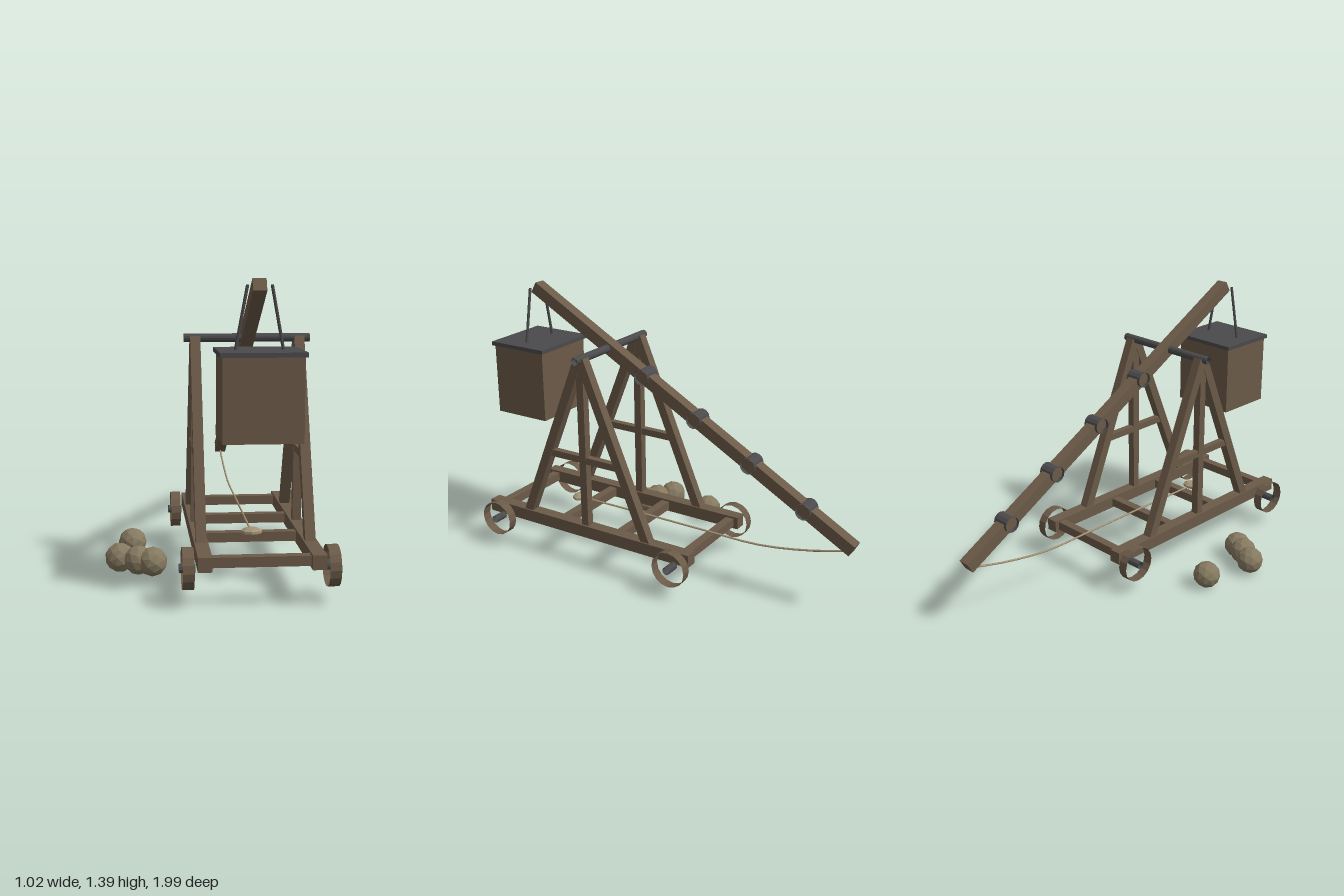
import * as THREE from 'three';

const CX = 0.16;        // centre line of the machine
const PIVOT_Z = 0.373;  // middle of the side frames
const mat = (color, side = THREE.FrontSide) =>
  new THREE.MeshStandardMaterial({ color, side, flatShading: true });

export function createModel() {
  const model = new THREE.Group();
  model.name = 'trebuchet';
  const wood = mat(0x6b5a48), woodOpen = mat(0x6b5a48, THREE.DoubleSide);
  const iron = mat(0x4a4a4c), ironOpen = mat(0x4a4a4c, THREE.DoubleSide);
  const rope = mat(0xa39376), stone = mat(0x857960);

  function add(name, geometry, material, x, y, z, parent = model) {
    const mesh = new THREE.Mesh(geometry, material);
    mesh.name = name;
    mesh.position.set(x, y, z);
    parent.add(mesh);
    return mesh;
  }
  const box = (name, w, h, d, m, x, y, z, parent) =>
    add(name, new THREE.BoxGeometry(w, h, d), m, x, y, z, parent);

  // Square beam between two points that share the same x
  function beam(name, size, x, [z0, y0], [z1, y1], parent) {
    const dz = z1 - z0, dy = y1 - y0;
    const b = box(name, size, size, Math.hypot(dz, dy), wood, x, (y0 + y1) / 2, (z0 + z1) / 2, parent);
    b.rotation.x = -Math.atan2(dy, dz);
    return b;
  }
  // Open tube lying along x
  function sleeve(name, r, length, sides, m, x, y, z, parent) {
    const g = new THREE.CylinderGeometry(r, r, length, sides, 1, true).rotateZ(Math.PI / 2);
    return add(name, g, m, x, y, z, parent);
  }

  // Base frame, side frames and wheels
  for (const s of [-1, 1]) {
    const side = new THREE.Group();
    side.name = s > 0 ? 'leftSide' : 'rightSide';
    model.add(side);
    const x = CX + s * 0.243;
    box('baseRail', 0.062, 0.064, 1.242, wood, x, 0.203, 0.373, side);
    beam('frontLeg', 0.047, x, [0.745, 0.22], [PIVOT_Z + 0.005, 1.11], side);
    beam('rearLeg', 0.047, x, [0.001, 0.22], [PIVOT_Z - 0.005, 1.11], side);
    box('centrePost', 0.04, 0.84, 0.04, wood, x, 0.65, PIVOT_Z, side);
    box('frameBrace', 0.035, 0.035, 0.4, wood, x, 0.59, PIVOT_Z, side);
    for (const z of [0.907, -0.17]) {
      sleeve('wheelRim', 0.091, 0.05, 16, woodOpen, CX + s * 0.312, 0.166, z, side);
      sleeve('wheelHub', 0.02, 0.07, 10, ironOpen, CX + s * 0.314, 0.166, z, side);
    }
  }
  for (const z of [-0.202, 0.195, 0.54, 0.94])
    box('crossBeam', 0.45, 0.045, 0.045, wood, CX, 0.203, z);

  sleeve('pivotAxle', 0.02, 0.59, 12, ironOpen, CX, 1.11, PIVOT_Z);

  // Throwing arm with iron bands
  const tip = [-0.978, 0.35], top = [0.826, 1.364];
  beam('throwingArm', 0.06, CX, tip, top);
  for (const z of [-0.73, -0.435, -0.135, 0.165]) {
    const y = tip[1] + (z - tip[0]) * (top[1] - tip[1]) / (top[0] - tip[0]);
    sleeve('armBand', 0.04, 0.09, 12, ironOpen, CX, y + 0.004, z);
  }

  // Counterweight
  box('counterweightBox', 0.342, 0.36, 0.306, wood, CX, 0.89, 0.829);
  box('counterweightLid', 0.365, 0.02, 0.33, iron, CX, 1.08, 0.829);
  for (const s of [-1, 1]) {
    const path = new THREE.LineCurve3(
      new THREE.Vector3(CX + s * 0.104, 1.08, 0.829), new THREE.Vector3(CX + s * 0.052, 1.363, 0.829));
    add('hangerRod', new THREE.TubeGeometry(path, 1, 0.007, 8), ironOpen, 0, 0, 0);
  }

  // Sling rope and pouch
  const ropePath = new THREE.CatmullRomCurve3(
    [[-0.96, 0.337], [-0.74, 0.28], [-0.48, 0.24], [-0.2, 0.238], [0.2, 0.238], [0.58, 0.236]]
      .map(([z, y]) => new THREE.Vector3(CX, y, z)));
  add('slingRope', new THREE.TubeGeometry(ropePath, 16, 0.005, 6), rope, 0, 0, 0);
  add('slingPouch', new THREE.SphereGeometry(0.052, 8, 5), rope, CX, 0.24, 0.598).scale.set(1, 0.36, 0.85);

  // Stone shot
  [[-0.38, 0.122], [-0.443, 0.395], [-0.355, 0.447], [-0.29, 0.478]].forEach(([x, z], i) => {
    add('stone', new THREE.IcosahedronGeometry(0.07, 1), stone, x, 0.072, z).rotation.set(i * 0.9, i * 1.3, i * 0.5);
  });

  return model;
}
